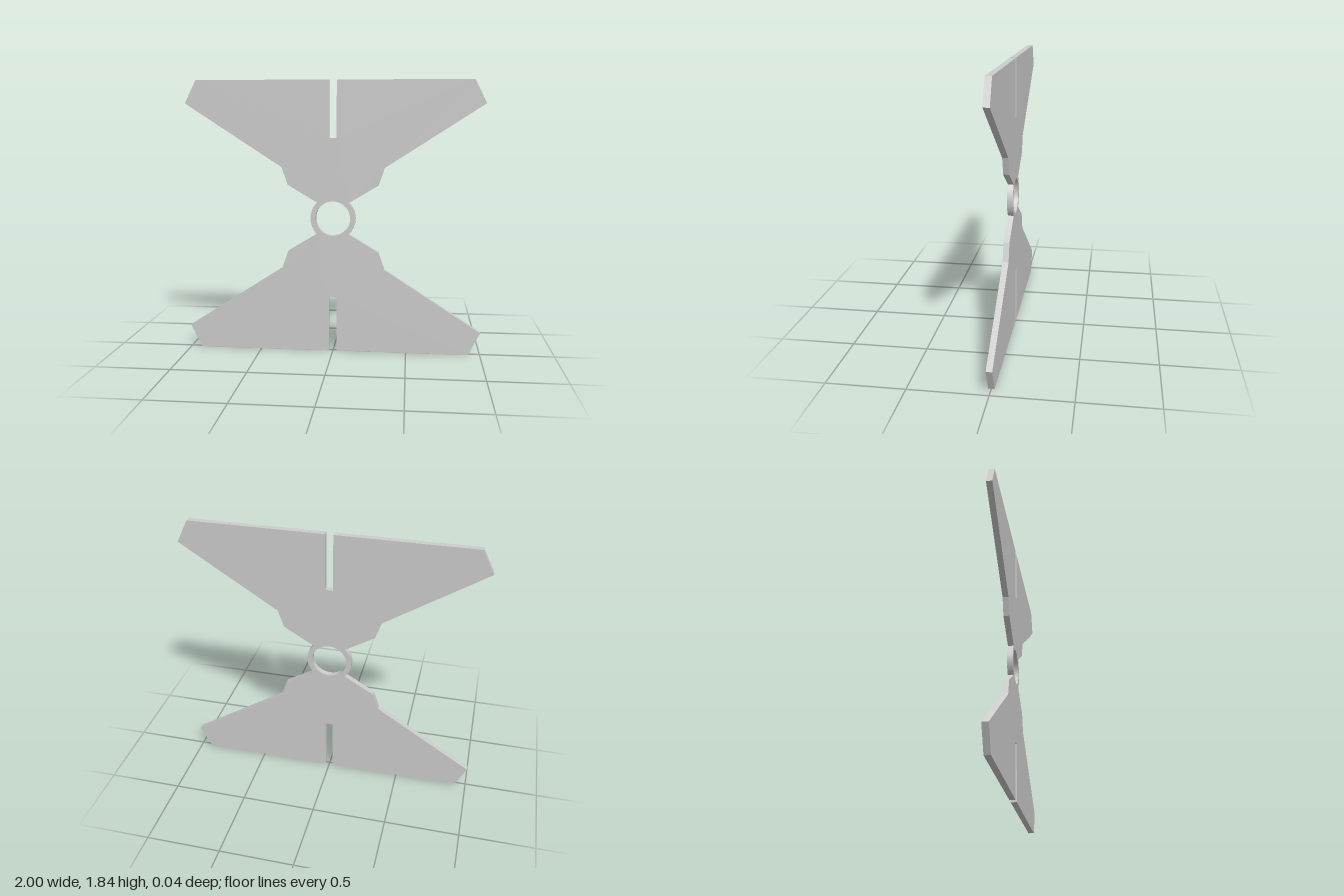
import * as THREE from 'three';
import { toCreasedNormals } from 'three/addons/utils/BufferGeometryUtils.js';

const HALF_HEIGHT = 0.922;
const THICKNESS = 0.039;
const RING_OUTER = 0.152;
const RING_INNER = 0.117;

// Right half of the upper wing, from the ring out to the slot floor
const quarter = [
  [0.108, 0.108], [0.306, 0.227], [0.347, 0.345], [1, 0.768],
  [0.922, HALF_HEIGHT], [0.026, HALF_HEIGHT], [0.026, 0.54],
];

function plateShape() {
  const shape = new THREE.Shape();
  const mirrored = [...quarter].reverse().map(([x, y]) => [-x, y]);
  const wing = [...quarter, ...mirrored];
  const a = Math.PI / 4;

  // Upper wing, left ring arc, lower wing, right ring arc
  shape.moveTo(...wing[0]);
  wing.slice(1).forEach(([x, y]) => shape.lineTo(x, y));
  shape.absarc(0, 0, RING_OUTER, 3 * a, 5 * a, false);
  wing.forEach(([x, y]) => shape.lineTo(-x, -y));
  shape.absarc(0, 0, RING_OUTER, -a, a, false);

  // Round eye through the centre
  const eye = new THREE.Path();
  eye.absarc(0, 0, RING_INNER, 0, Math.PI * 2, true);
  shape.holes.push(eye);
  return shape;
}

export function createModel() {
  const group = new THREE.Group();
  group.name = 'slottedPlate';

  const flat = new THREE.ExtrudeGeometry(plateShape(), {
    depth: THICKNESS, bevelEnabled: false, curveSegments: 32,
  });
  flat.translate(0, HALF_HEIGHT, -THICKNESS / 2);

  const plate = new THREE.Mesh(
    toCreasedNormals(flat, Math.PI / 9),
    new THREE.MeshStandardMaterial({ color: 0xcccccc }),
  );
  plate.name = 'doubleWingPlate';
  group.add(plate);
  return group;
}
